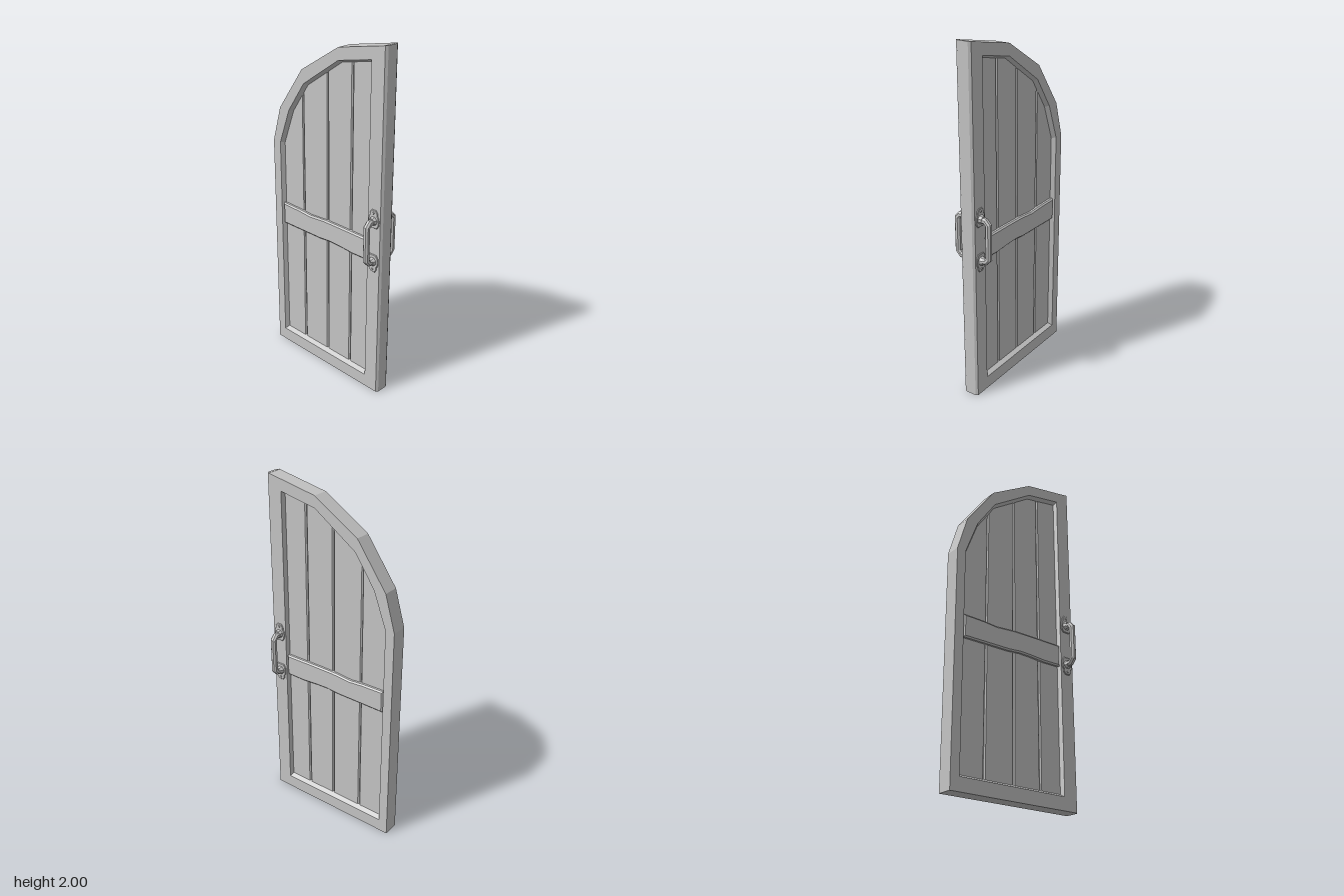
import * as THREE from 'three';

const FRONT = 0.045, PANEL = 0.02;

// Outer arch, opening in the frame, foot of the opening's bevel, hidden plank tops
const outer = [[-0.415, 0], [0.405, 0], [0.405, 2], [0.095, 1.94], [-0.175, 1.775], [-0.355, 1.525], [-0.415, 1.32]];
const opening = [[-0.36, 0.075], [0.32, 0.075], [0.32, 1.918], [0.095, 1.873], [-0.162, 1.7], [-0.283, 1.525], [-0.36, 1.32]];
const inset = [[-0.345, 0.093], [0.311, 0.093], [0.311, 1.9], [0.102, 1.858], [-0.15, 1.688], [-0.268, 1.518], [-0.345, 1.315]];
const arch = [[-0.39, 1.32], [-0.318, 1.525], [-0.168, 1.737], [0.095, 1.906], [0.37, 1.96]];

const toShape = pts => new THREE.Shape(pts.map(p => new THREE.Vector2(p[0], p[1])));

// Extrusion centred on z = 0, with an optional chamfer kept inside the outline
function slab(shape, depth, bevel = 0) {
  const g = new THREE.ExtrudeGeometry(shape, {
    depth: depth - 2 * bevel, bevelEnabled: bevel > 0, bevelSegments: 1,
    bevelSize: bevel, bevelThickness: bevel, bevelOffset: -bevel, curveSegments: 8,
  });
  return g.translate(0, 0, -depth / 2 + bevel);
}

// Flat-faced surface through rings of equal length
function loft(rings, flip = false, caps = false) {
  const n = rings[0].length, index = [];
  const tri = (a, b, c) => (flip ? index.push(a, c, b) : index.push(a, b, c));
  for (let r = 0; r < rings.length - 1; r++) {
    for (let i = 0; i < n; i++) {
      const j = (i + 1) % n, a = r * n + i, b = r * n + j;
      tri(a, b, b + n);
      tri(a, b + n, a + n);
    }
  }
  if (caps) {
    const e = (rings.length - 1) * n;
    for (let i = 1; i < n - 1; i++) {
      tri(0, i + 1, i);
      tri(e, e + i, e + i + 1);
    }
  }
  const g = new THREE.BufferGeometry();
  g.setAttribute('position', new THREE.Float32BufferAttribute(rings.flat(2), 3));
  g.setIndex(index);
  const flat = g.toNonIndexed();
  flat.computeVertexNormals();
  return flat;
}

// Height of the hidden plank ends under the arch
function archY(x) {
  const k = Math.max(1, arch.findIndex(p => p[0] >= x));
  const [x0, y0] = arch[k - 1], [x1, y1] = arch[k];
  return y0 + (y1 - y0) * (x - x0) / (x1 - x0);
}

export function createModel() {
  const grey = new THREE.MeshStandardMaterial({ color: 0xc4c4c4 });
  grey.name = 'plain grey';
  const model = new THREE.Group();
  model.name = 'archedDoor';
  const add = (parent, name, geometry) => {
    const mesh = new THREE.Mesh(geometry, grey);
    mesh.name = name;
    parent.add(mesh);
    return mesh;
  };

  // Frame with its opening
  const frame = toShape(outer);
  frame.holes.push(new THREE.Path(opening.map(p => new THREE.Vector2(...p))));
  add(model, 'frame', slab(frame, 2 * FRONT));

  // Chamfered closing edge on the straight side
  const edge = toShape([[0.4, -FRONT], [0.406, -FRONT], [0.415, -0.032], [0.415, 0.032], [0.406, FRONT], [0.4, FRONT]]);
  const edgeGeometry = new THREE.ExtrudeGeometry(edge, { depth: 2, bevelEnabled: false });
  add(model, 'closingEdge', edgeGeometry.rotateX(-Math.PI / 2));

  // Sloped lip around the opening, front and back
  for (const s of [1, -1]) {
    const rings = [opening.map(p => [...p, s * FRONT]), inset.map(p => [...p, s * (PANEL - 0.006)])];
    add(model, s > 0 ? 'frontLip' : 'backLip', loft(rings, s < 0));
  }

  // Vertical planks with chamfered joints
  const joints = [-0.375, -0.195, -0.005, 0.174, 0.345];
  for (let i = 0; i < 4; i++) {
    const x0 = joints[i] + 0.001, x1 = joints[i + 1] - 0.001;
    const top = [x0, ...arch.map(p => p[0]).filter(x => x > x0 && x < x1), x1].reverse();
    const pts = [[x0, 0.04], [x1, 0.04], ...top.map(x => [x, archY(x)])];
    add(model, 'plank' + (i + 1), slab(toShape(pts), 2 * PANEL, 0.007));
  }

  // Cross rail with worn, uneven edges
  const rail = [[-0.352, 0.815], [-0.05, 0.817], [0.03, 0.824], [0.1, 0.822], [0.2, 0.815], [0.318, 0.817],
    [0.318, 0.944], [0.1, 0.945], [-0.02, 0.944], [-0.13, 0.935], [-0.22, 0.942], [-0.352, 0.945]];
  add(model, 'crossRail', slab(toShape(rail), 0.08, 0.008));

  // Pull handle: lobed plates, bosses and a bent octagonal grip
  function makeHandle(name, turn) {
    const handle = new THREE.Group();
    handle.name = name;
    for (const s of [1, -1]) {
      const y = 0.955 + s * 0.12;
      const half = [[0.022, -0.042], [0.034, -0.024], [0.037, 0], [0.034, 0.02], [0.026, 0.032], [0.026, 0.046], [0.014, 0.062]];
      const outline = [...half, ...half.map(p => [-p[0], p[1]]).reverse()];
      const plate = add(handle, 'plate', slab(toShape(outline), 0.012, 0.003));
      plate.position.set(0, y, FRONT);
      if (s < 0) plate.rotation.z = Math.PI;
      const boss = new THREE.CylinderGeometry(0.02, 0.027, 0.02, 8).toNonIndexed();
      boss.computeVertexNormals();
      boss.rotateY(Math.PI / 8).rotateX(Math.PI / 2);
      add(handle, 'boss', boss).position.set(0, y, 0.058);
      const screw = new THREE.CylinderGeometry(0.005, 0.007, 0.005, 6).rotateX(Math.PI / 2);
      add(handle, 'screw', screw).position.set(0, y + s * 0.045, FRONT + 0.008);
    }
    // Each row: y, z, and the mitre direction across the grip
    const path = [[0.838, 0.05, -1, 0], [0.838, 0.082, -1, 0.3], [0.858, 0.1, -0.3, 1],
      [1.052, 0.1, 0.3, 1], [1.072, 0.082, 1, 0.3], [1.072, 0.05, 1, 0]];
    const rings = path.map(([y, z, ny, nz]) => Array.from({ length: 8 }, (_, i) => {
      const a = (i + 0.5) * Math.PI / 4, c = 0.018 * Math.cos(a), d = 0.018 * Math.sin(a);
      return [c, y + ny * d, z + nz * d];
    }));
    add(handle, 'grip', loft(rings, true, true));
    handle.position.x = 0.363;
    handle.rotation.y = turn;
    model.add(handle);
  }
  makeHandle('frontHandle', 0);
  makeHandle('backHandle', Math.PI);

  return model;
}
